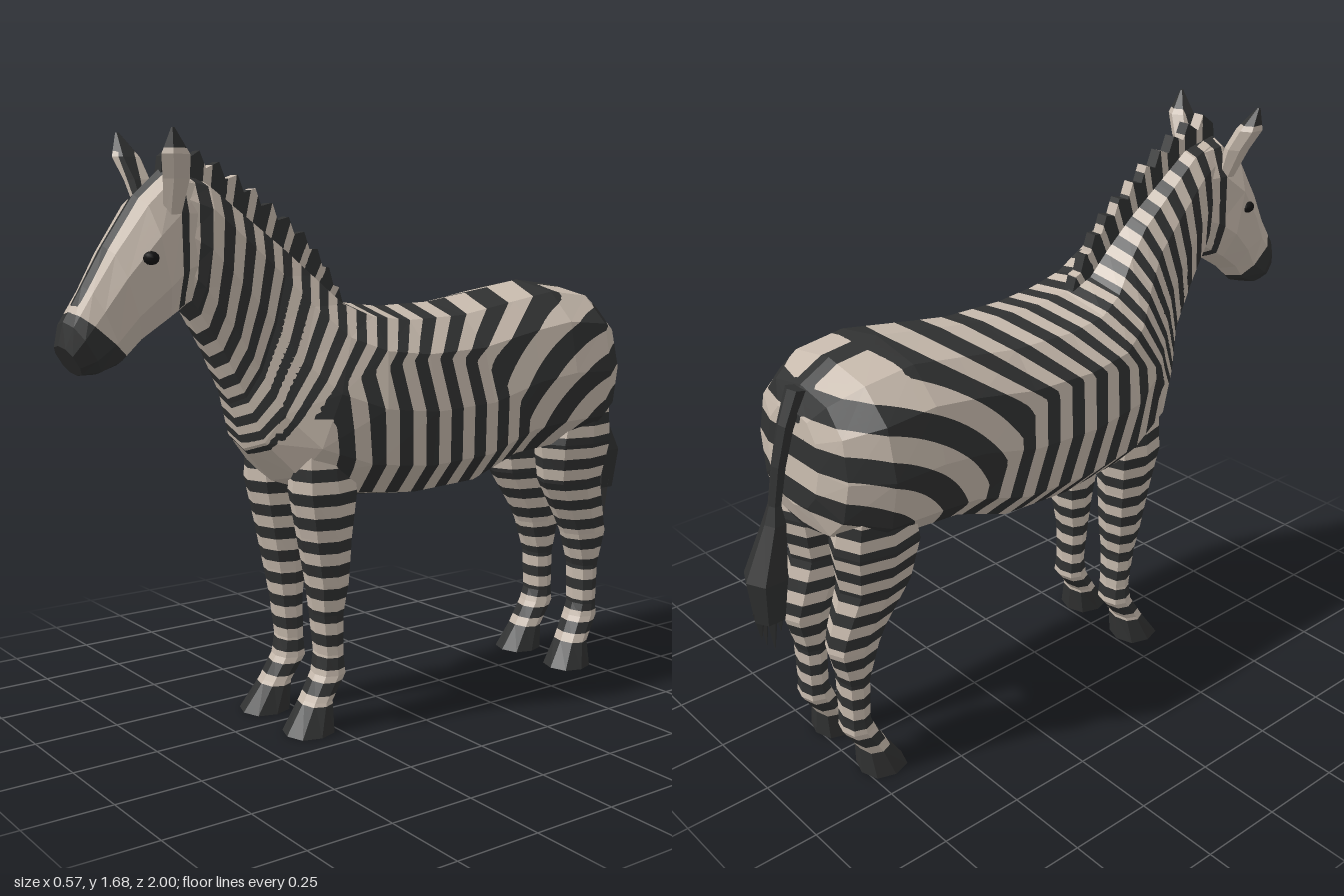
import * as THREE from 'three';

const light = new THREE.MeshStandardMaterial({ color: 0xc6b9ac });
light.name = 'cream coat';
const dark = new THREE.MeshStandardMaterial({ color: 0x303131 });
dark.name = 'charcoal stripe';
const black = new THREE.MeshStandardMaterial({ color: 0x141414 });
black.name = 'eye black';

// Oval cross-section at x, spanning two points (z, y), with half-width w
const ring = (x, z1, y1, z2, y2, w, sides) => Array.from({ length: sides }, (_, i) => {
  const a = (i / sides) * Math.PI * 2;
  const box = v => Math.sign(v) * Math.pow(Math.abs(v), 0.82);
  const s = box(Math.sin(a)), c = box(Math.cos(a));
  return new THREE.Vector3(x + w * s, (y1 + y2) / 2 + c * (y1 - y2) / 2, (z1 + z2) / 2 + c * (z1 - z2) / 2);
});

// Skin a list of rings with closed ends; returns triangles facing outwards
function loft(rows, sides) {
  const rings = rows.map(r => ring(...r, sides)), tris = [];
  for (let k = 0; k < rings.length - 1; k++)
    for (let i = 0; i < sides; i++) {
      const j = (i + 1) % sides, A = rings[k], B = rings[k + 1];
      tris.push([A[i], B[i], B[j]], [A[i], B[j], A[j]]);
    }
  for (const [r, flip] of [[rings[0], false], [rings[rings.length - 1], true]]) {
    const mid = r.reduce((m, p) => m.add(p), new THREE.Vector3()).divideScalar(sides);
    r.forEach((p, i) => {
      const q = r[(i + 1) % sides];
      tris.push(flip ? [mid, q, p] : [mid, p, q]);
    });
  }
  const o = rings[0][0], n = new THREE.Vector3();
  const vol = tris.reduce((v, [a, b, c]) => v + a.clone().sub(o).dot(n.crossVectors(b.clone().sub(o), c.clone().sub(o))), 0);
  return vol < 0 ? tris.map(([a, b, c]) => [a, c, b]) : tris;
}

// Cut the facets along field = 0: positive is stripe, negative is coat
function paint(name, tris, field, size = 0.026) {
  const out = [[], []];
  const clip = (pts, f, sign, list) => {
    const poly = [];
    pts.forEach((p, i) => {
      const j = (i + 1) % 3, a = f[i] * sign, b = f[j] * sign;
      if (a > 0) poly.push(p);
      if ((a > 0) !== (b > 0)) poly.push(p.clone().lerp(pts[j], a / (a - b)));
    });
    for (let i = 1; i < poly.length - 1; i++)
      for (const p of [poly[0], poly[i], poly[i + 1]]) list.push(p.x, p.y, p.z);
  };
  // Halve the longest edge until the facet is small enough
  const split = tri => {
    const lengths = tri.map((p, i) => p.distanceTo(tri[(i + 1) % 3]));
    const longest = Math.max(...lengths);
    if (longest > size) {
      const k = lengths.indexOf(longest);
      const a = tri[k], b = tri[(k + 1) % 3], c = tri[(k + 2) % 3], h = a.clone().lerp(b, 0.5);
      split([a, h, c]);
      split([h, b, c]);
      return;
    }
    const f = tri.map(p => field(p) || 1e-6);
    clip(tri, f, -1, out[0]);
    clip(tri, f, 1, out[1]);
  };
  tris.forEach(split);
  const g = new THREE.BufferGeometry();
  g.setAttribute('position', new THREE.Float32BufferAttribute(out[0].concat(out[1]), 3));
  g.addGroup(0, out[0].length / 3, 0);
  g.addGroup(out[0].length / 3, out[1].length / 3, 1);
  g.computeVertexNormals();
  const mesh = new THREE.Mesh(g, [light, dark]);
  mesh.name = name;
  return mesh;
}

function plain(name, tris, material) {
  const g = new THREE.BufferGeometry().setFromPoints(tris.flat());
  g.computeVertexNormals();
  const mesh = new THREE.Mesh(g, material);
  mesh.name = name;
  return mesh;
}

// Stripe patterns: fan on the neck, upright on the barrel, arcs on the rump
const wave = n => 0.25 - Math.abs(n - Math.round(n));
const neckCount = p => 10 + (30 - Math.atan2(0.69 - p.z, p.y - 0.4) * 180 / Math.PI) / 3.7;
const barrelCount = p => 3 + (Math.min(p.z, 0.3) + 0.15 * (1.2 - p.y) + 0.22) / 0.09;
const rumpCount = p => (Math.hypot(0.85 * (p.z + 0.85), Math.min(p.y, 1.21) - 0.7) - 0.2) / 0.13;
const spine = p => Math.min(0.037 - Math.abs(p.x), -0.56 - p.z, p.y - 1.1);
const bodyField = p => Math.max(wave(Math.max(neckCount(p), barrelCount(p), rumpCount(p))), spine(p) * 5);
const neckField = p => wave(neckCount(p));
const headField = p => Math.max(
  0.65 * p.z - 0.76 * p.y + 0.3,                       // muzzle
  Math.min(0.027 - Math.abs(p.x), p.y - 1.24),         // blaze
  Math.min(neckField(p) * 0.1, 0.69 - p.z));           // cheek
const legField = p => Math.max(wave((p.y - 0.125) / 0.07) * 0.07, 0.08 - p.y);

export function createModel() {
  const model = new THREE.Group();
  model.name = 'stripedHorse';

  // Body and neck: top z, y, bottom z, y, half-width
  const body = [
    [-0.82, 1.13, -0.84, 0.86, 0.12], [-0.79, 1.19, -0.81, 0.78, 0.21], [-0.7, 1.24, -0.7, 0.73, 0.28],
    [-0.55, 1.26, -0.55, 0.72, 0.285], [-0.4, 1.235, -0.42, 0.71, 0.28], [-0.2, 1.205, -0.25, 0.645, 0.28],
    [0, 1.2, -0.02, 0.635, 0.285], [0.12, 1.215, 0.2, 0.66, 0.277], [0.2, 1.25, 0.37, 0.72, 0.235],
    [0.28, 1.33, 0.46, 0.82, 0.175], [0.36, 1.4, 0.5, 0.95, 0.135], [0.47, 1.48, 0.56, 1.08, 0.12],
    [0.58, 1.56, 0.63, 1.2, 0.105], [0.66, 1.58, 0.66, 1.25, 0.085],
  ].map(r => [0, ...r]);
  model.add(paint('body', loft(body, 12), bodyField));

  // Head
  const head = [
    [0.6, 1.57, 0.6, 1.25, 0.08], [0.7, 1.59, 0.66, 1.21, 0.1], [0.78, 1.52, 0.71, 1.18, 0.118],
    [0.87, 1.39, 0.79, 1.13, 0.097], [0.93, 1.29, 0.84, 1.08, 0.078], [0.985, 1.2, 0.9, 1.06, 0.078],
    [1.0, 1.14, 0.95, 1.06, 0.055],
  ].map(r => [0, ...r]);
  model.add(paint('head', loft(head, 10), headField, 0.02));

  // Mane: a thin crest with teeth leaning backwards
  const crest = new THREE.CatmullRomCurve3([[0.7, 1.62], [0.585, 1.595], [0.445, 1.52], [0.36, 1.46], [0.255, 1.38],
    [0.185, 1.3], [0.13, 1.21]].map(([z, y]) => new THREE.Vector3(z, y, 0)));
  const shape = new THREE.Shape([[0.2, 1.18], [0.45, 1.4], [0.6, 1.5], [0.715, 1.52]].map(p => new THREE.Vector2(...p)));
  const teeth = 11;
  for (let i = 0; i < teeth; i++) {
    const a = crest.getPointAt(i / teeth), b = crest.getPointAt((i + 0.85) / teeth);
    shape.lineTo(a.x, a.y);
    shape.lineTo(b.x + 0.01, b.y + 0.042);
  }
  shape.lineTo(0.13, 1.21);
  const maneGeo = new THREE.ExtrudeGeometry(shape, { depth: 0.036, bevelEnabled: false });
  maneGeo.rotateY(-Math.PI / 2).translate(0.018, 0, 0);
  const pos = maneGeo.attributes.position;
  const maneTris = Array.from({ length: pos.count / 3 }, (_, i) =>
    [0, 1, 2].map(k => new THREE.Vector3().fromBufferAttribute(pos, i * 3 + k)));
  model.add(paint('mane', maneTris, p => Math.max(neckField(p) + 0.08, (p.z - 0.66) * 5)));

  // Legs: y, front z, back z, inner x, outer x
  const frontLeg = [
    [0.86, 0.37, 0.2, 0.06, 0.19], [0.7, 0.375, 0.175, 0.035, 0.205], [0.57, 0.345, 0.19, 0.04, 0.19],
    [0.43, 0.315, 0.2, 0.047, 0.178], [0.34, 0.3, 0.213, 0.052, 0.162], [0.22, 0.285, 0.212, 0.055, 0.155],
    [0.16, 0.295, 0.205, 0.052, 0.16], [0.09, 0.335, 0.255, 0.055, 0.165], [0, 0.4, 0.255, 0.048, 0.19],
  ];
  const hindLeg = [
    [0.88, -0.58, -0.79, 0.06, 0.23], [0.75, -0.55, -0.81, 0.035, 0.23], [0.62, -0.575, -0.79, 0.04, 0.2],
    [0.49, -0.655, -0.825, 0.045, 0.175], [0.44, -0.68, -0.835, 0.05, 0.17], [0.33, -0.72, -0.803, 0.055, 0.16],
    [0.2, -0.725, -0.8, 0.055, 0.157], [0.16, -0.71, -0.805, 0.052, 0.16], [0.08, -0.67, -0.757, 0.055, 0.168],
    [0, -0.62, -0.76, 0.048, 0.19],
  ];
  // Ears: x, front z, y, back z, y, half-width
  const ear = [
    [0.072, 0.73, 1.46, 0.68, 1.46, 0.022], [0.11, 0.75, 1.56, 0.672, 1.56, 0.033],
    [0.14, 0.768, 1.62, 0.685, 1.62, 0.035], [0.157, 0.748, 1.685, 0.738, 1.685, 0.004],
  ];
  const earField = p => Math.max(p.y - 1.635,
    Math.min(p.z - 0.715, 0.065 + 0.355 * (p.y - 1.46) - Math.abs(p.x)));
  for (const [side, s] of [['left', 1], ['right', -1]]) {
    for (const [name, rows] of [['FrontLeg', frontLeg], ['HindLeg', hindLeg]]) {
      const rings = rows.map(([y, zf, zb, xi, xo]) => [s * (xi + xo) / 2, zf, y, zb, y, (xo - xi) / 2]);
      model.add(paint(side + name, loft(rings, 8), legField));
    }
    model.add(paint(side + 'Ear', loft(ear.map(([x, ...r]) => [s * x, ...r]), 6), earField, 0.02));
    const eye = new THREE.Mesh(new THREE.SphereGeometry(0.024, 8, 6), black);
    eye.name = side + 'Eye';
    eye.scale.set(0.6, 0.75, 1);
    eye.position.set(s * 0.106, 1.36, 0.785);
    model.add(eye);
  }

  // Tail with a pointed tuft
  const tail = [
    [-0.78, 1.18, -0.83, 1.19, 0.03], [-0.825, 1.08, -0.865, 1.1, 0.024], [-0.855, 0.98, -0.893, 0.99, 0.02],
    [-0.878, 0.88, -0.912, 0.88, 0.02], [-0.87, 0.83, -0.93, 0.83, 0.035], [-0.88, 0.68, -1.0, 0.68, 0.062],
    [-0.895, 0.55, -0.985, 0.55, 0.042],
  ].map(r => [0, ...r]);
  model.add(plain('tail', loft(tail, 6), dark));
  for (const [x, z, tip] of [[0, -0.91, 0.49], [0.022, -0.945, 0.45], [-0.022, -0.945, 0.46], [0, -0.97, 0.49]]) {
    const lock = loft([[x, z + 0.02, 0.58, z - 0.02, 0.58, 0.02], [x, z + 0.001, tip, z - 0.001, tip, 0.001]], 4);
    model.add(plain('tailTip', lock, dark));
  }
  return model;
}
